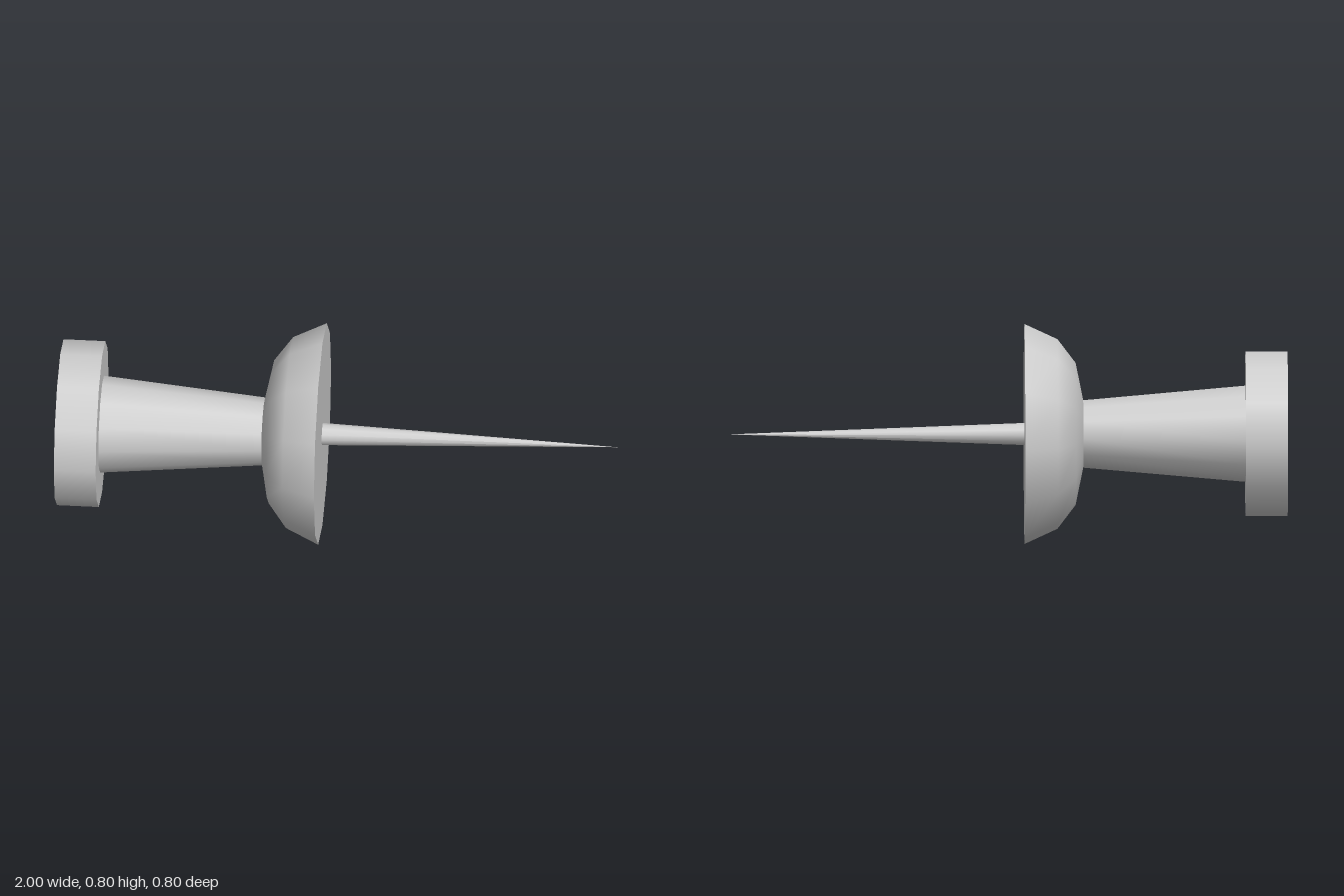
import * as THREE from 'three';

const SIDES = 12;
const AXIS_HEIGHT = 0.398;

export function createModel() {
  const group = new THREE.Group();
  group.name = 'pushPin';
  const material = new THREE.MeshStandardMaterial({ color: 0xcccccc });

  // Lay a geometry turned about y along the x axis, at the pin's height
  const add = (name, geometry, x = 0) => {
    geometry.rotateZ(-Math.PI / 2).translate(x, AXIS_HEIGHT, 0);
    const mesh = new THREE.Mesh(geometry, material);
    mesh.name = name;
    group.add(mesh);
  };

  // Tapered round section between two x positions
  const section = (name, x0, r0, x1, r1) =>
    add(name, new THREE.CylinderGeometry(r1, r0, x1 - x0, SIDES), (x0 + x1) / 2);

  section('head', -1, 0.298, -0.85, 0.298);
  section('grip', -0.85, 0.174, -0.27, 0.122);

  // Rounded collar shell, smooth along its profile
  const profile = [[0.122, -0.27], [0.257, -0.243], [0.343, -0.178], [0.398, -0.06]]
    .map(([r, x]) => new THREE.Vector2(r, x));
  add('collar', new THREE.LatheGeometry(profile, SIDES));

  // Flat face closing the collar
  const face = new THREE.CircleGeometry(0.398, SIDES).rotateX(-Math.PI / 2);
  add('collarFace', face, -0.06);

  // Needle tapering to a point
  add('needle', new THREE.ConeGeometry(0.04, 1.06, SIDES), 0.47);

  return group;
}
